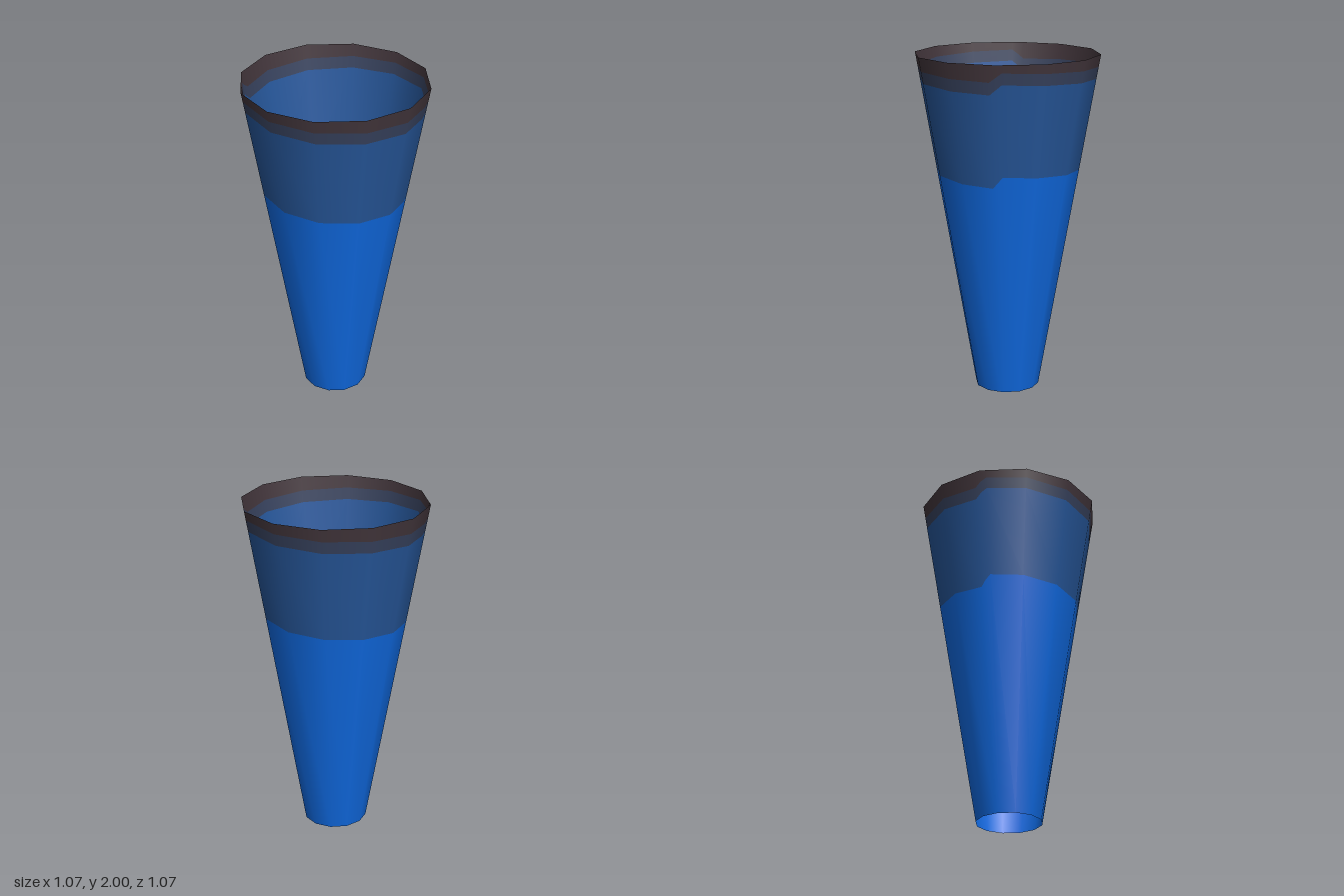
import * as THREE from 'three';

const SIDES = 12, BOTTOM_R = 0.19, TOP_R = 0.537, HEIGHT = 2;
const SLOPE = (TOP_R - BOTTOM_R) / HEIGHT;
const STEP = Math.PI * 2 / SIDES;
const JUMP = 0.07; // half-width, in radians, of the step in each colour edge

// Angles round the wall: the polygon corners plus the ends of the two steps
const angles = [];
for (let i = 0; i <= SIDES; i++) {
  const a = i * STEP, onStep = i % (SIDES / 2) === 0;
  if (onStep && i > 0) angles.push(a - JUMP);
  angles.push(a);
  if (onStep && i < SIDES) angles.push(a + JUMP);
}

// Point of a unit 12-sided polygon at an angle
function polygonPoint(a) {
  const i = Math.floor(a / STEP + 1e-6), t = a / STEP - i;
  const mix = (f) => f(i * STEP) * (1 - t) + f((i + 1) * STEP) * t;
  return [mix(Math.cos), mix(Math.sin)];
}

// Colour edge height: climbs over each half turn, then drops back at +x and -x
function edgeHeight(mid, rise, a) {
  const half = a % Math.PI;
  if (half < 1e-6 || Math.PI - half < 1e-6) return mid;
  return mid + rise * (half / Math.PI - 0.5);
}

// One band of the tapered wall between two height functions
function band(name, material, low, high) {
  const positions = [], normals = [], index = [];
  angles.forEach((a, i) => {
    const [cx, cz] = polygonPoint(a);
    const n = new THREE.Vector3(cx, -SLOPE, cz).normalize();
    for (const y of [low(a), high(a)]) {
      const r = BOTTOM_R + SLOPE * y;
      positions.push(cx * r, y, cz * r);
      normals.push(n.x, n.y, n.z);
    }
    if (i < angles.length - 1) {
      const k = i * 2;
      index.push(k, k + 1, k + 3, k, k + 3, k + 2);
    }
  });
  const geometry = new THREE.BufferGeometry();
  geometry.setAttribute('position', new THREE.Float32BufferAttribute(positions, 3));
  geometry.setAttribute('normal', new THREE.Float32BufferAttribute(normals, 3));
  geometry.setIndex(index);
  const mesh = new THREE.Mesh(geometry, material);
  mesh.name = name;
  return mesh;
}

function paint(name, color) {
  const m = new THREE.MeshStandardMaterial({ color, side: THREE.DoubleSide });
  m.name = name;
  return m;
}

export function createModel() {
  const group = new THREE.Group();
  group.name = 'openCone';
  const edges = [
    () => 0,
    (a) => edgeHeight(1.328, 0.07, a),
    (a) => edgeHeight(1.86, 0.06, a),
    (a) => edgeHeight(1.928, 0.055, a),
    () => HEIGHT,
  ];
  const bands = [
    ['lowerWall', paint('bright blue', 0x106be4)],
    ['upperWall', paint('dull blue', 0x27589c)],
    ['slateBand', paint('slate', 0x38435f)],
    ['rimBand', paint('dark brown', 0x44373d)],
  ];
  bands.forEach(([name, material], i) => group.add(band(name, material, edges[i], edges[i + 1])));
  return group;
}
